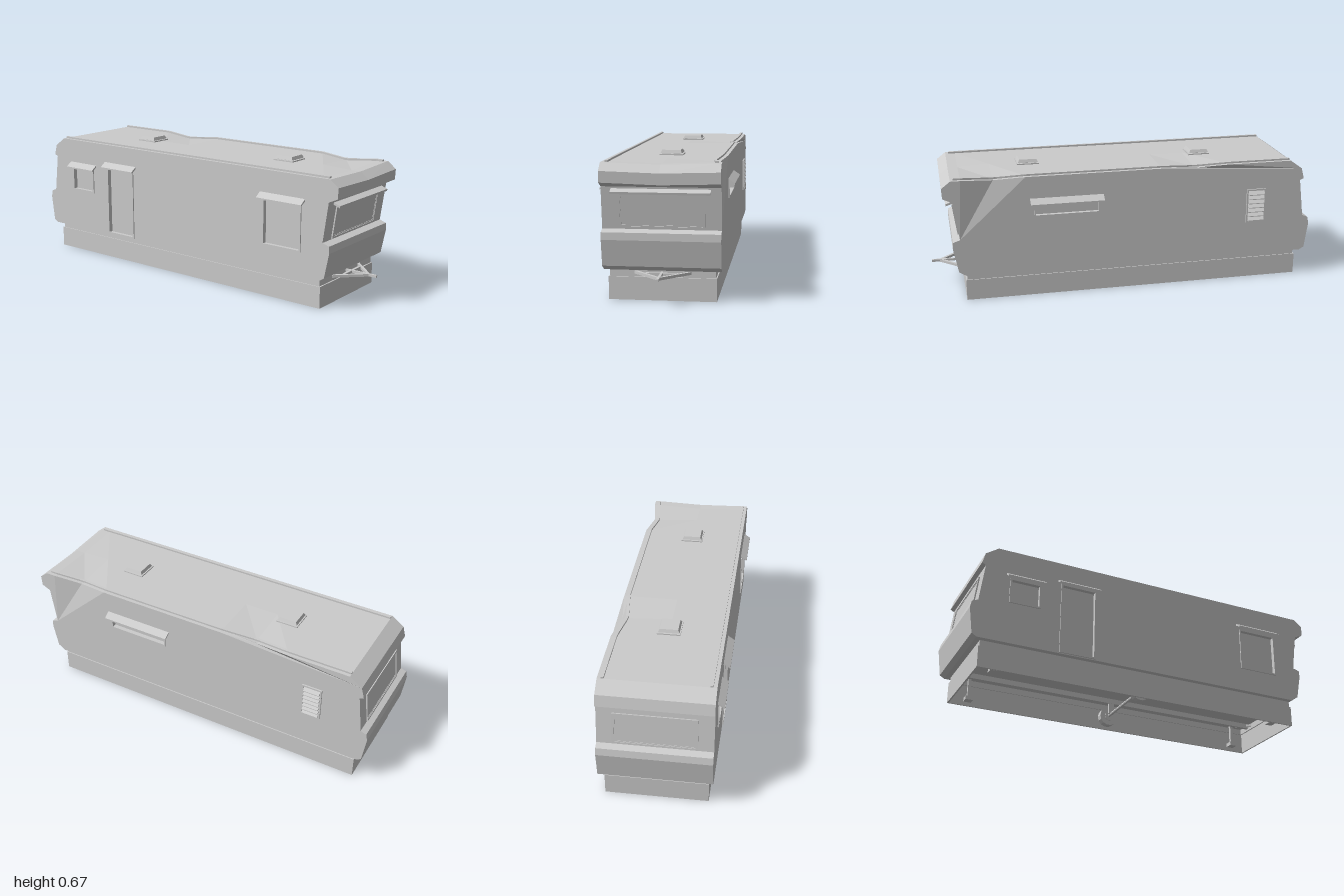
import * as THREE from 'three';

const material = new THREE.MeshStandardMaterial({ color: 0xcccccc, flatShading: true, side: THREE.DoubleSide });

export function createModel() {
  const model = new THREE.Group();

  function add(name, geometry, x = 0, y = 0, z = 0, parent = model) {
    const mesh = new THREE.Mesh(geometry, material);
    mesh.name = name;
    mesh.position.set(x, y, z);
    parent.add(mesh);
    return mesh;
  }
  const box = (name, w, h, d, x, y, z, parent) => add(name, new THREE.BoxGeometry(w, h, d), x, y, z, parent);
  const toShape = pts => new THREE.Shape(pts.map(p => new THREE.Vector2(...p)));
  const rect = (a0, a1, b0, b1) => [[a0, b0], [a1, b0], [a1, b1], [a0, b1]];

  // Extrudes a (z, y) outline along x, from x0 to x1
  function extrudeX(shape, x0, x1, steps = 1) {
    const g = new THREE.ExtrudeGeometry(shape, { depth: x1 - x0, steps, bevelEnabled: false });
    return g.rotateY(-Math.PI / 2).translate(x1, 0, 0);
  }
  // Rectangular frame in the xy plane, centred, rising along z
  function ring(w, h, t, depth) {
    const s = toShape(rect(-w / 2, w / 2, -h / 2, h / 2));
    s.holes.push(toShape(rect(t - w / 2, w / 2 - t, t - h / 2, h / 2 - t)));
    return new THREE.ExtrudeGeometry(s, { depth, bevelEnabled: false });
  }
  // Small dents along the left roof edge and a sag over the front
  function dent(g) {
    const p = g.attributes.position;
    for (let i = 0; i < p.count; i++) {
      const x = p.getX(i), y = p.getY(i), z = p.getZ(i);
      if (y > 0.63 && x > 0.2) {
        const d = Math.max(0, 1 - Math.abs(z - 0.68) / 0.16, 1 - Math.abs(z + 0.36) / 0.18);
        p.setX(i, x - 0.024 * d);
        p.setY(i, y - 0.013 * d);
      } else if (y > 0.54 && z > 0.8) {
        p.setY(i, y - 0.008 * (1 - Math.abs(x) / 0.275));
      }
    }
    g.computeVertexNormals();
    return g;
  }

  // Body profile as (z, y)
  const profile = [
    [0.83, 0.14], [0.87, 0.165], [0.895, 0.29], [0.893, 0.325], [0.857, 0.337], [0.885, 0.535],
    [0.932, 0.557], [0.935, 0.61], [0.89, 0.645], [0.84, 0.645], [0.68, 0.645], [0.52, 0.645],
    [-0.18, 0.645], [-0.36, 0.645], [-0.54, 0.645], [-0.875, 0.645], [-0.94, 0.6], [-0.955, 0.545],
    [-0.935, 0.535], [-0.96, 0.337], [-0.99, 0.325], [-0.998, 0.29], [-0.98, 0.155], [-0.955, 0.14]
  ];
  add('bodyCore', dent(extrudeX(toShape(profile), -0.25, 0.25, 2)));

  // Openings in each side wall, with the top height of the awning above
  const openings = [
    { name: 'leftWindow', side: 1, z: [0.15, 0.475], y: [0.44, 0.51], awning: 0.533 },
    { name: 'rightFrontWindow', side: -1, z: [0.52, 0.73], y: [0.275, 0.495], awning: 0.535 },
    { name: 'rightRearWindow', side: -1, z: [-0.8, -0.65], y: [0.365, 0.485], awning: 0.52 },
    { name: 'door', side: -1, z: [-0.53, -0.35], y: [0.152, 0.52], awning: 0.55 }
  ];
  for (const side of [1, -1]) {
    const wall = toShape(profile);
    for (const o of openings) {
      if (o.side === side) wall.holes.push(toShape(rect(...o.z, ...o.y)));
    }
    const [x0, x1] = side > 0 ? [0.25, 0.275] : [-0.275, -0.25];
    add(side > 0 ? 'leftWall' : 'rightWall', dent(extrudeX(wall, x0, x1)));
  }
  for (const o of openings) {
    const w = o.z[1] - o.z[0], h = o.y[1] - o.y[0];
    const zc = (o.z[0] + o.z[1]) / 2, yc = (o.y[0] + o.y[1]) / 2;
    const frame = add(o.name + 'Frame', ring(w + 0.014, h + 0.014, 0.009, 0.008), o.side * 0.273, yc, zc);
    frame.rotation.y = o.side * Math.PI / 2;
    box(o.name + 'Panel', 0.008, h, w, o.side * 0.252, yc, zc);

    const t = o.awning, s = o.side;
    const blade = toShape([[0.272, t], [0.308, t - 0.026], [0.308, t - 0.034], [0.272, t - 0.012]].map(([x, y]) => [s * x, y]));
    add(o.name + 'Awning', new THREE.ExtrudeGeometry(blade, { depth: w + 0.05, bevelEnabled: false }), 0, 0, o.z[0] - 0.025);
  }

  // Louvred vent on the left wall
  add('ventFrame', ring(0.105, 0.182, 0.008, 0.01), 0.273, 0.412, -0.693).rotation.y = Math.PI / 2;
  for (let i = 0; i < 7; i++) {
    const y = 0.33 + i * 0.0235;
    const slat = toShape([[0.274, y + 0.022], [0.291, y + 0.004], [0.291, y], [0.274, y + 0.004]]);
    add('ventLouvre', new THREE.ExtrudeGeometry(slat, { depth: 0.085, bevelEnabled: false }), 0, 0, -0.7355);
  }

  // Sloping end windows
  for (const [name, z, tilt, turn] of [['frontWindow', 0.869, 0.14, 0], ['rearWindow', -0.949, 0.125, Math.PI]]) {
    const group = new THREE.Group();
    group.name = name;
    group.position.set(0, 0.423, z);
    group.rotation.set(tilt, turn, 0);
    add('outerFrame', ring(0.4, 0.164, 0.01, 0.009), 0, 0, -0.002, group);
    add('innerFrame', ring(0.38, 0.144, 0.005, 0.005), 0, 0, -0.001, group);
    box('glass', 0.37, 0.134, 0.002, 0, 0, 0.001, group);
    model.add(group);
  }
  add('frontVisor', extrudeX(toShape([[0.88, 0.528], [0.918, 0.514], [0.916, 0.504], [0.878, 0.518]]), -0.228, 0.228));

  // Roof gutters and hatches
  for (const s of [1, -1]) {
    add('roofGutter', dent(new THREE.BoxGeometry(0.014, 0.012, 1.75, 1, 1, 50).translate(s * 0.25, 0.648, 0)));
  }
  for (const z of [0.48, -0.44]) {
    box('hatchBase', 0.115, 0.012, 0.115, 0, 0.645, z);
    const lid = new THREE.CylinderGeometry(0.064, 0.074, 0.016, 4, 1).rotateY(Math.PI / 4);
    add('hatchLid', lid, 0, 0.662, z);
    box('hatchNeck', 0.09, 0.01, 0.09, 0, 0.652, z);
  }

  // Hollow skirt under the body
  const skirt = (name, w, l, y, h) => add(name, ring(w, l, 0.008, h).rotateX(-Math.PI / 2), 0, y, -0.05);
  skirt('lowerSkirt', 0.504, 1.772, 0, 0.109);
  skirt('upperSkirt', 0.494, 1.758, 0.109, 0.033);

  // Chassis rails, axle, wheels and corner jacks
  for (const s of [1, -1]) {
    box('chassisRail', 0.016, 0.028, 1.72, s * 0.15, 0.127, -0.05);
    const tyre = new THREE.CylinderGeometry(0.05, 0.05, 0.034, 14).rotateZ(Math.PI / 2);
    add('tyre', tyre, s * 0.195, 0.052, -0.06);
    add('hub', new THREE.CylinderGeometry(0.024, 0.024, 0.042, 10).rotateZ(Math.PI / 2), s * 0.195, 0.052, -0.06);
    box('spring', 0.014, 0.06, 0.03, s * 0.15, 0.086, -0.06);
    for (const z of [0.73, -0.84]) {
      box('jackPost', 0.016, 0.12, 0.016, s * 0.2, 0.08, z);
      box('jackFoot', 0.04, 0.02, 0.04, s * 0.2, 0.02, z);
    }
  }
  add('axle', new THREE.CylinderGeometry(0.008, 0.008, 0.39, 8).rotateZ(Math.PI / 2), 0, 0.055, -0.06);

  // Towing frame
  for (const s of [1, -1]) {
    const a = new THREE.Vector3(s * 0.19, 0.13, 0.76), b = new THREE.Vector3(0, 0.13, 0.955);
    const arm = box('hitchArm', 0.014, 0.013, a.distanceTo(b), s * 0.095, 0.13, 0.8575);
    arm.lookAt(b);
  }
  box('hitchCrossbar', 0.15, 0.012, 0.014, 0, 0.13, 0.86);
  box('hitchBar', 0.012, 0.012, 0.17, 0, 0.131, 0.915);

  return model;
}
